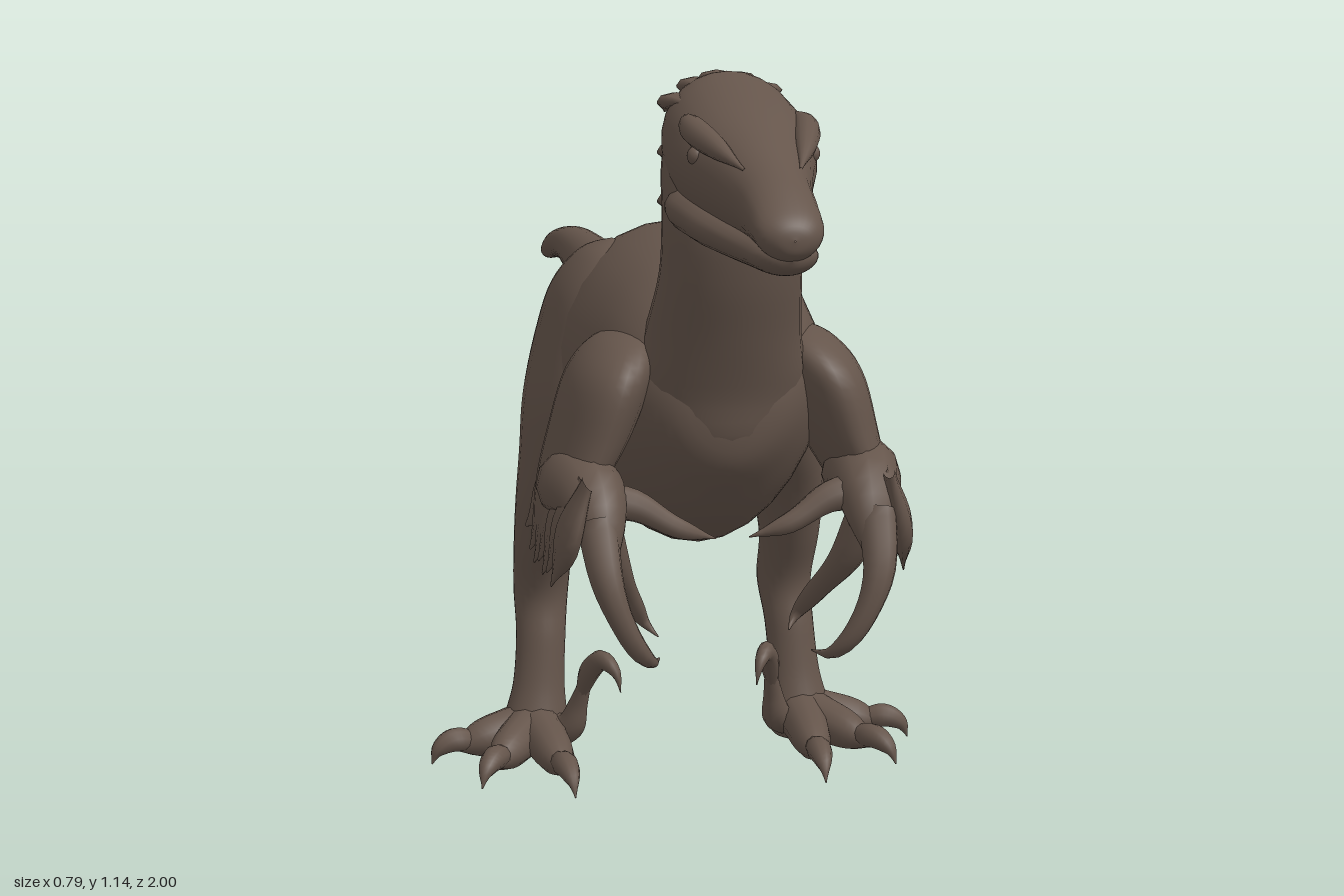
import * as THREE from 'three';
import { mergeVertices } from 'three/addons/utils/BufferGeometryUtils.js';

const brown = new THREE.MeshStandardMaterial({ color: 0x65554b });
brown.name = 'brown hide';

// Value of a list of equal-length rows at t in 0..1, smoothly interpolated
function sample(rows, t) {
  const f = t * (rows.length - 1), i = Math.min(Math.floor(f), rows.length - 2), u = f - i;
  const at = (k) => rows[Math.max(0, Math.min(rows.length - 1, k))];
  return rows[0].map((_, c) => {
    const [a, b, d, e] = [at(i - 1)[c], at(i)[c], at(i + 1)[c], at(i + 2)[c]];
    return b + 0.5 * u * (d - a + u * (2 * a - 5 * b + 4 * d - e + u * (3 * (b - d) + e - a)));
  });
}

// Smooth skin over oval rings [x, y, z, rx, r]; rings lie across the given axis, which must ascend
function loft(name, rows, axis, sides = 28) {
  const steps = (rows.length - 1) * 5, pos = [], index = [];
  for (let i = 0; i <= steps; i++) {
    const [x, y, z, a, b] = sample(rows, i / steps);
    const rx = Math.max(a, 0.001), r = Math.max(b, 0.001);
    for (let j = 0; j < sides; j++) {
      const sin = Math.sin((j / sides) * Math.PI * 2);
      const c = rx * Math.cos((j / sides) * Math.PI * 2), s = r * sin;
      // Rings along z are a little narrower towards the belly
      if (axis === 'z') pos.push(x + c * (1 + 0.1 * sin), y + s, z);
      else pos.push(x + c, y, z - s);
    }
  }
  for (let i = 0; i < steps; i++) {
    for (let j = 0; j < sides; j++) {
      const k = (j + 1) % sides, p = i * sides, q = p + sides;
      index.push(p + j, p + k, q + j, p + k, q + k, q + j);
    }
  }
  const geo = new THREE.BufferGeometry();
  geo.setAttribute('position', new THREE.Float32BufferAttribute(pos, 3));
  geo.setIndex(index);
  geo.computeVertexNormals();
  const mesh = new THREE.Mesh(geo, brown);
  mesh.name = name;
  return mesh;
}

// Loft along z from [z, top, bottom, halfWidth]
const hull = (name, rows) =>
  loft(name, rows.map(([z, t, b, w]) => [0, (t + b) / 2, z, w, (t - b) / 2]), 'z');

// Tapered tube through points, mirrored by side, optionally flattened
function limb(name, points, radii, side = 1, flat = [1, 1, 1], sides = 12, steps = 16) {
  const curve = new THREE.CatmullRomCurve3(points.map(([x, y, z]) => new THREE.Vector3(x * side, y, z)));
  let geo = new THREE.TubeGeometry(curve, steps, 1, sides);
  const p = geo.attributes.position, v = new THREE.Vector3(), f = new THREE.Vector3(...flat);
  const rows = radii.map((r) => [r]);
  for (let i = 0; i < p.count; i++) {
    const t = Math.floor(i / (sides + 1)) / steps, c = curve.getPointAt(t);
    v.fromBufferAttribute(p, i).sub(c).multiplyScalar(Math.max(sample(rows, t)[0], 0.0008)).multiply(f).add(c);
    p.setXYZ(i, v.x, v.y, v.z);
  }
  geo.deleteAttribute('uv');
  geo.deleteAttribute('normal');
  geo = mergeVertices(geo, 1e-5);
  geo.computeVertexNormals();
  const mesh = new THREE.Mesh(geo, brown);
  mesh.name = name;
  return mesh;
}

function makeHead() {
  const g = new THREE.Group();
  g.name = 'head';
  g.add(hull('skull', [
    [0.52, 1.06, 1.04, 0.001], [0.535, 1.11, 0.98, 0.07], [0.58, 1.143, 0.93, 0.096], [0.65, 1.132, 0.92, 0.104],
    [0.73, 1.108, 0.922, 0.098], [0.8, 1.078, 0.925, 0.076], [0.87, 1.045, 0.925, 0.057],
    [0.93, 1.018, 0.92, 0.051], [0.975, 0.99, 0.918, 0.046], [0.995, 0.97, 0.93, 0.026], [1, 0.951, 0.949, 0.001],
  ]));
  g.add(hull('lowerJaw', [
    [0.6, 0.96, 0.94, 0.001], [0.64, 1.0, 0.905, 0.1], [0.72, 0.99, 0.896, 0.1], [0.8, 0.965, 0.893, 0.073],
    [0.88, 0.95, 0.893, 0.052], [0.95, 0.945, 0.896, 0.045], [0.975, 0.94, 0.905, 0.03], [0.985, 0.923, 0.921, 0.001],
  ]));
  for (const s of [1, -1]) {
    g.add(limb('browRidge', [[0.075, 1.09, 0.65], [0.082, 1.076, 0.72], [0.064, 1.056, 0.8], [0.04, 1.032, 0.87]],
      [0.002, 0.019, 0.016, 0.002], s));
    const eye = new THREE.Mesh(new THREE.SphereGeometry(0.014, 16, 12), brown);
    eye.position.set(s * 0.082, 1.04, 0.755);
    eye.name = 'eye';
    g.add(eye);
  }
  // Overlapping rows of crest feathers down the back of the head and neck
  for (let r = 0; r < 6; r++) {
    for (let k = -2; k <= 2; k++) {
      const x = (k + (r % 2 ? 0.25 : -0.25)) * 0.034, back = x * x * 6 + (r % 2) * 0.01;
      const y = 1.122 - r * 0.036 - x * x * 5;
      g.add(limb('crestFeather',
        [[x * 0.9, y + 0.01, 0.59 + back], [x, y + 0.008, 0.545 + back], [x * 1.08, y - 0.012, 0.5 + back]],
        [0.012, 0.027, 0.001], 1, [1, 0.45, 1], 8, 8));
    }
  }
  return g;
}

function makeLeg(s) {
  const g = new THREE.Group();
  g.name = s > 0 ? 'leftLeg' : 'rightLeg';
  g.add(loft('thighAndShin', [
    [0.22, 0.01, 0.17, 0.001, 0.001], [0.22, 0.014, 0.17, 0.04, 0.04], [0.22, 0.05, 0.165, 0.053, 0.05],
    [0.213, 0.12, 0.163, 0.042, 0.037], [0.207, 0.2, 0.15, 0.04, 0.041], [0.203, 0.27, 0.128, 0.044, 0.056],
    [0.203, 0.35, 0.16, 0.048, 0.06], [0.193, 0.43, 0.185, 0.058, 0.077], [0.175, 0.51, 0.195, 0.07, 0.12],
    [0.155, 0.6, 0.198, 0.083, 0.155], [0.14, 0.7, 0.2, 0.077, 0.15], [0.125, 0.78, 0.215, 0.07, 0.12],
    [0.112, 0.835, 0.23, 0.042, 0.07], [0.105, 0.855, 0.235, 0.001, 0.001],
  ].map(([x, ...rest]) => [x * s, ...rest]), 'y'));
  // Three spread toes, each ending in a claw
  for (const [x, z] of [[0.395, 0.21], [0.335, 0.355], [0.2, 0.43]]) {
    const at = (t, y) => [0.22 + (x - 0.22) * t, y, 0.165 + (z - 0.165) * t];
    g.add(limb('toe', [at(0, 0.052), at(0.35, 0.045), at(0.65, 0.035), at(0.84, 0.028)],
      [0.042, 0.036, 0.028, 0.001], s));
    g.add(limb('toeClaw', [at(0.6, 0.038), at(0.8, 0.043), at(0.94, 0.03), at(1, 0.008)],
      [0.016, 0.02, 0.014, 0.001], s, [1, 1, 1], 10));
  }
  // Raised sickle claw on the inner side
  g.add(limb('sickleToe', [[0.2, 0.045, 0.18], [0.172, 0.06, 0.215], [0.16, 0.105, 0.235], [0.151, 0.15, 0.255]],
    [0.03, 0.024, 0.015, 0.01], s));
  g.add(limb('sickleClaw', [[0.157, 0.12, 0.24], [0.147, 0.165, 0.265], [0.132, 0.19, 0.3], [0.116, 0.175, 0.326], [0.11, 0.145, 0.332]],
    [0.012, 0.019, 0.018, 0.012, 0.001], s, [0.8, 1, 1], 10));
  return g;
}

function makeArm(s) {
  const g = new THREE.Group();
  g.name = s > 0 ? 'leftArm' : 'rightArm';
  g.add(loft('featheredUpperArm', [
    [0.25, 0.41, 0.48, 0.001, 0.03], [0.245, 0.45, 0.485, 0.022, 0.1], [0.222, 0.52, 0.49, 0.042, 0.126],
    [0.19, 0.6, 0.495, 0.058, 0.132], [0.16, 0.69, 0.5, 0.062, 0.127], [0.135, 0.74, 0.495, 0.045, 0.08],
    [0.125, 0.76, 0.49, 0.001, 0.001],
  ].map(([x, ...rest]) => [x * s, ...rest]), 'y'));
  g.add(limb('forearm', [[0.225, 0.49, 0.44], [0.218, 0.53, 0.54], [0.207, 0.525, 0.625], [0.2, 0.46, 0.685], [0.19, 0.41, 0.705]],
    [0.02, 0.055, 0.054, 0.036, 0.001], s));
  // Broad wing feathers sweeping down and back from the forearm
  for (let i = 0; i < 7; i++) {
    const z = 0.42 + i * 0.038, tip = 0.395 + 0.012 * (i % 2) + (i === 0 ? 0.04 : 0);
    g.add(limb('wingFeather', [[0.225, 0.56, z + 0.03], [0.25, 0.475, z + 0.005], [0.268, tip, z - 0.035]],
      [0.02, 0.046, 0.003], s, [0.35, 1, 1], 10, 10));
  }
  // Three hooked fingers
  const fingers = [
    [[0.21, 0.52, 0.62], [0.15, 0.515, 0.63], [0.085, 0.48, 0.64], [0.025, 0.46, 0.635]],
    [[0.2, 0.49, 0.65], [0.175, 0.42, 0.625], [0.14, 0.355, 0.575], [0.115, 0.315, 0.555], [0.1, 0.3, 0.58]],
    [[0.21, 0.5, 0.67], [0.2, 0.41, 0.718], [0.165, 0.33, 0.72], [0.135, 0.295, 0.7], [0.115, 0.29, 0.66]],
  ];
  for (const f of fingers) g.add(limb('finger', f, [0.03, 0.026, 0.019, 0.014, 0.001], s, [1, 1, 1], 10));
  return g;
}

export function createModel() {
  const model = new THREE.Group();
  model.name = 'featheredDinosaur';
  model.add(hull('bodyAndTail', [
    [-1, 0.652, 0.648, 0.002], [-0.95, 0.683, 0.653, 0.02], [-0.85, 0.722, 0.668, 0.029], [-0.7, 0.748, 0.675, 0.037],
    [-0.55, 0.755, 0.65, 0.044], [-0.4, 0.755, 0.605, 0.055], [-0.25, 0.754, 0.56, 0.073], [-0.1, 0.765, 0.505, 0.096],
    [0, 0.8, 0.462, 0.118], [0.1, 0.845, 0.43, 0.16], [0.2, 0.876, 0.41, 0.188], [0.3, 0.886, 0.397, 0.198],
    [0.4, 0.878, 0.4, 0.19], [0.5, 0.85, 0.45, 0.17], [0.57, 0.8, 0.51, 0.135], [0.62, 0.73, 0.57, 0.08],
    [0.635, 0.652, 0.648, 0.001],
  ]));
  model.add(loft('neck', [
    [0, 0.52, 0.5, 0.001, 0.001], [0, 0.58, 0.515, 0.1, 0.1], [0, 0.67, 0.53, 0.13, 0.115], [0, 0.76, 0.565, 0.116, 0.115],
    [0, 0.85, 0.612, 0.105, 0.1], [0, 0.93, 0.627, 0.104, 0.097], [0, 1.02, 0.615, 0.102, 0.085],
    [0, 1.09, 0.6, 0.08, 0.055], [0, 1.12, 0.6, 0.001, 0.001],
  ], 'y'));
  model.add(makeHead());
  for (const s of [1, -1]) model.add(makeLeg(s), makeArm(s));
  return model;
}
